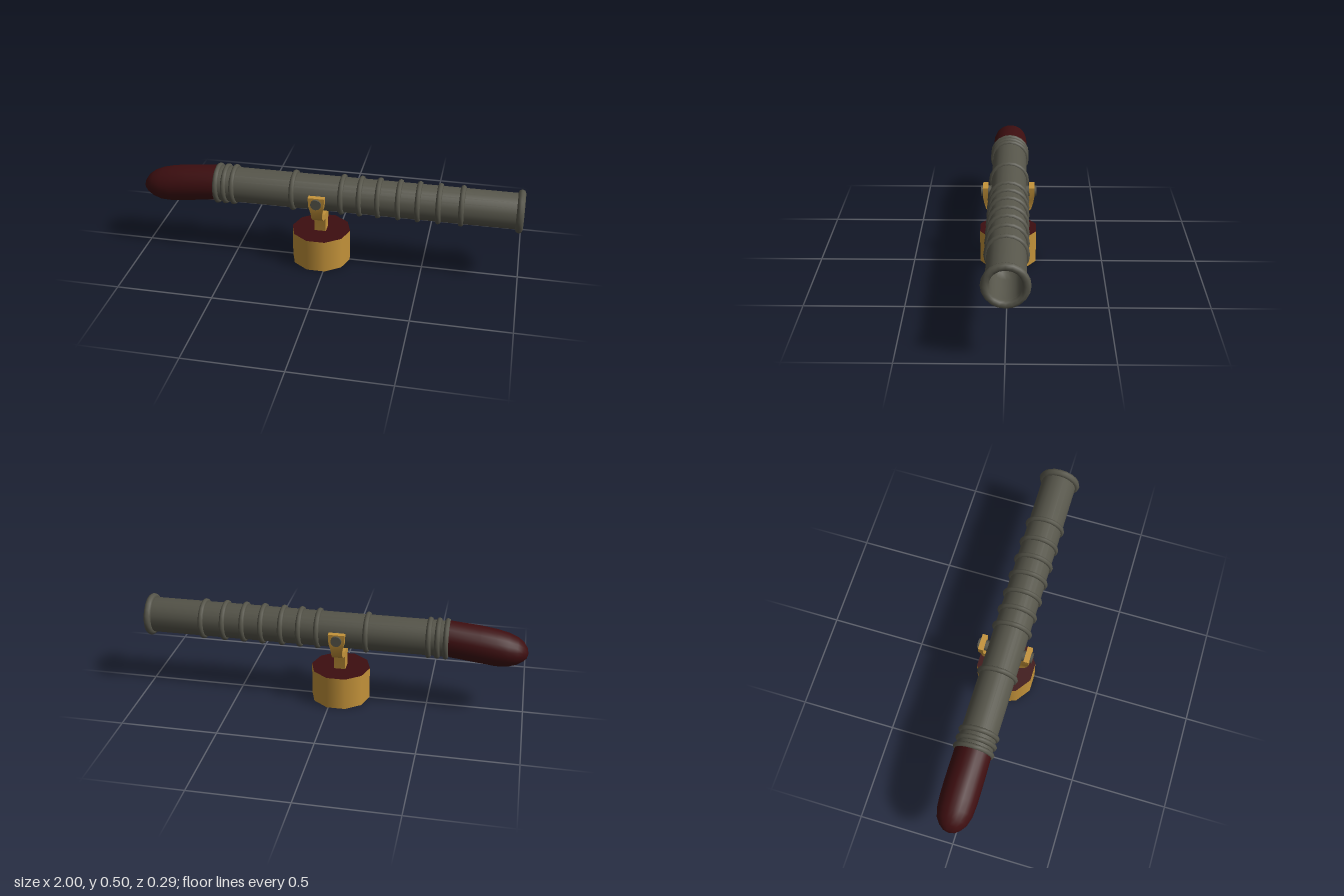
import * as THREE from 'three';
import { toCreasedNormals } from 'three/addons/utils/BufferGeometryUtils.js';

const brass = new THREE.MeshStandardMaterial({ color: 0xc4933a });
brass.name = 'brass';
const gunmetal = new THREE.MeshStandardMaterial({ color: 0x56554a });
gunmetal.name = 'gunmetal';
const darkRed = new THREE.MeshStandardMaterial({ color: 0x3d0e10 });
darkRed.name = 'dark red';

const AXIS_Y = 0.387, AXIS_Z = -0.003, MOUNT_X = -0.04;

// Skin a list of equal-length cross-sections (counter-clockwise about the path) and cap both ends
function loft(sections, crease) {
  const n = sections[0].length, last = sections.length - 1, index = [];
  for (let i = 0; i < last; i++) {
    for (let j = 0; j < n; j++) {
      const a = i * n + j, b = i * n + (j + 1) % n;
      index.push(a, b, b + n, a, b + n, a + n);
    }
  }
  for (let j = 1; j < n - 1; j++) {
    index.push(0, j + 1, j);
    index.push(last * n, last * n + j, last * n + j + 1);
  }
  const geo = new THREE.BufferGeometry();
  geo.setAttribute('position', new THREE.Float32BufferAttribute(sections.flat(2), 3));
  geo.setIndex(index);
  return toCreasedNormals(geo, crease);
}

export function createModel() {
  const model = new THREE.Group();
  model.name = 'swivelGun';
  const add = (name, geo, material, x = 0, y = 0, z = 0) => {
    const mesh = new THREE.Mesh(geo, material);
    mesh.name = name;
    mesh.position.set(x, y, z);
    model.add(mesh);
    return mesh;
  };

  // Ten-sided pedestal with dark ends
  add('pedestal', new THREE.CylinderGeometry(0.155, 0.155, 0.175, 10, 1, false, Math.PI / 2),
    [brass, darkRed, darkRed], MOUNT_X, 0.0875, 0);

  // Flared stem: [y, half x, half z]
  const stem = [[0.17, 0.03, 0.031], [0.21, 0.029, 0.036], [0.262, 0.03, 0.044]]
    .map(([y, hx, hz]) => [[-hx, y, hz], [hx, y, hz], [hx, y, -hz], [-hx, y, -hz]]);
  add('stem', loft(stem, 0.6), brass, MOUNT_X, 0, AXIS_Z);

  // Fork arms: [outer z, outer y, inner z, inner y, half x], mirrored about the middle
  const arm = [
    [0.134, 0.419, 0.106, 0.419, 0.043],
    [0.134, 0.37, 0.108, 0.365, 0.04],
    [0.127, 0.328, 0.1, 0.335, 0.03],
    [0.118, 0.296, 0.083, 0.297, 0.028],
    [0.09, 0.27, 0.06, 0.288, 0.029],
    [0.042, 0.255, 0.03, 0.284, 0.03],
  ];
  const mirrored = arm.slice().reverse().map(([oz, oy, iz, iy, h]) => [-oz, oy, -iz, iy, h]);
  const fork = [...arm, ...mirrored]
    .map(([oz, oy, iz, iy, h]) => [[h, iy, iz], [h, oy, oz], [-h, oy, oz], [-h, iy, iz]]);
  add('fork', loft(fork, 0.75), brass, MOUNT_X, 0, AXIS_Z);

  // Pivot pins through the fork
  for (const side of [1, -1]) {
    const pin = add(side > 0 ? 'frontPin' : 'backPin', new THREE.CylinderGeometry(0.028, 0.028, 0.065, 12),
      gunmetal, MOUNT_X, AXIS_Y, AXIS_Z + side * 0.112);
    pin.rotation.x = Math.PI / 2;
  }

  // Barrel with a bowl-ended bore: [radius, x]
  const profile = [
    [0, -0.605], [0.093, -0.605], [0.093, -0.6], [0.093, 0.975], [0.09, 0.985], [0.076, 0.985],
    [0.073, 0.97], [0.071, 0.8], [0.06, 0.765], [0.035, 0.74], [0, 0.73],
  ].map(([r, x]) => new THREE.Vector2(r, x));
  const barrel = add('barrel', toCreasedNormals(new THREE.LatheGeometry(profile, 20), 0.9),
    gunmetal, 0, AXIS_Y, AXIS_Z);
  barrel.rotation.z = -Math.PI / 2;

  // Raised bands and the thicker muzzle lip
  const band = new THREE.TorusGeometry(0.093, 0.014, 8, 20);
  const bandXs = [-0.588, -0.545, -0.5, -0.18, 0.075, 0.17, 0.265, 0.37, 0.47, 0.575, 0.69];
  for (const x of bandXs) add('barrelBand', band, gunmetal, x, AXIS_Y, AXIS_Z).rotation.y = Math.PI / 2;
  add('muzzleLip', new THREE.TorusGeometry(0.093, 0.019, 8, 20), gunmetal, 0.981, AXIS_Y, AXIS_Z)
    .rotation.y = Math.PI / 2;

  // Drooping rounded grip: [x, centre y, half height, half width]
  const grip = [
    [-1, 0.342, 0.004, 0.004],
    [-0.994, 0.345, 0.026, 0.03],
    [-0.975, 0.35, 0.049, 0.055],
    [-0.945, 0.353, 0.069, 0.077],
    [-0.9, 0.355, 0.086, 0.09],
    [-0.84, 0.361, 0.095, 0.095],
    [-0.76, 0.372, 0.096, 0.096],
    [-0.6, 0.389, 0.094, 0.094],
  ].map(([x, yc, ry, rz]) => Array.from({ length: 20 }, (_, k) => {
    const a = k * Math.PI / 10;
    return [x, yc + ry * Math.cos(a), rz * Math.sin(a)];
  }));
  add('grip', loft(grip, 1.0), darkRed, 0, 0, AXIS_Z);

  return model;
}
